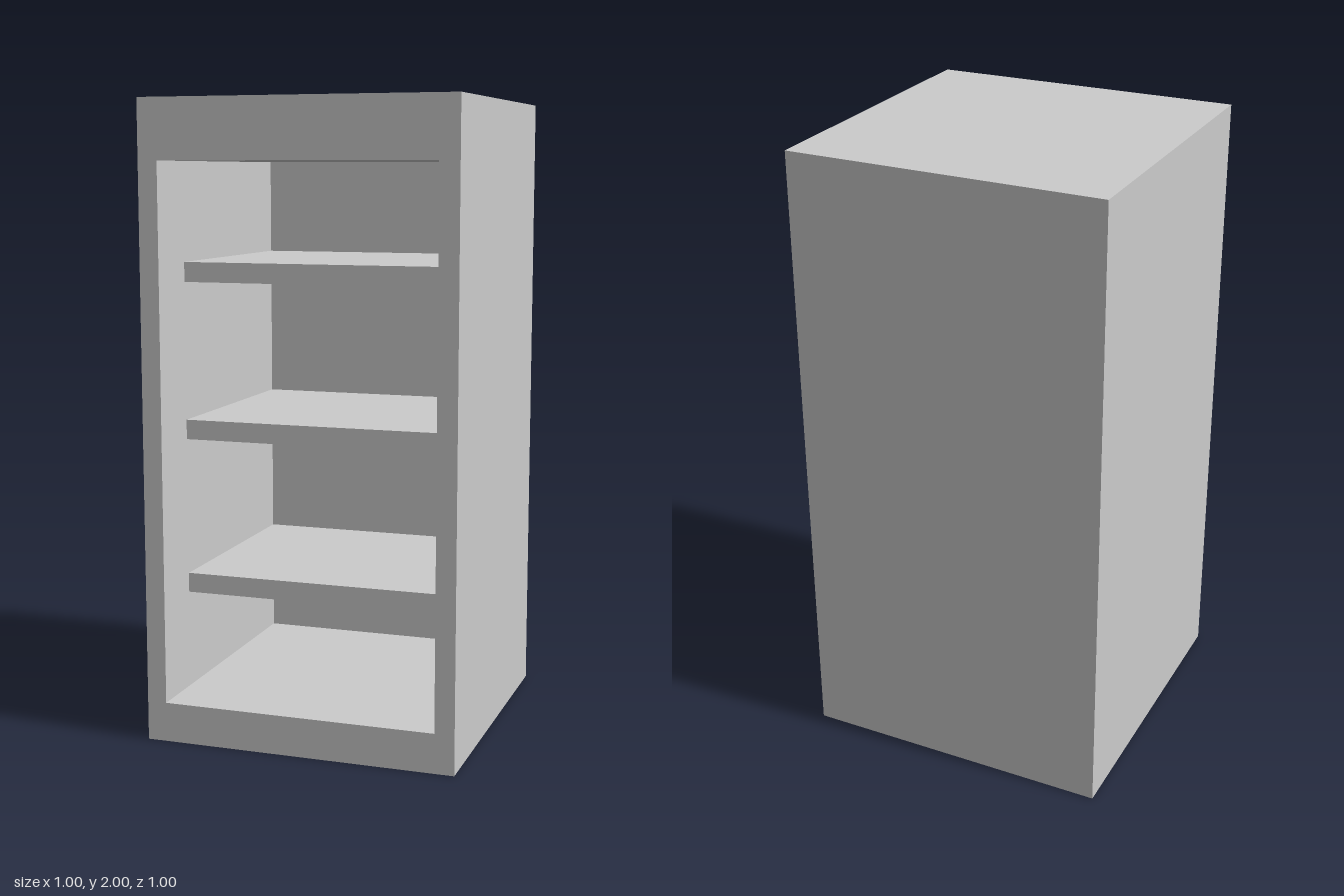
import * as THREE from 'three';

export function createModel() {
  const model = new THREE.Group();
  model.name = 'bookcase';
  const material = new THREE.MeshStandardMaterial({ color: 0xcccccc });

  const add = (name, geometry, x, y, z) => {
    const mesh = new THREE.Mesh(geometry, material);
    mesh.name = name;
    mesh.position.set(x, y, z);
    model.add(mesh);
  };

  const wall = 0.0625;            // panel thickness
  const innerW = 1 - 2 * wall;
  const bottom = 0.125, top = 1.8125;

  // Carcass: one rectangular frame with the front opening cut through
  const frame = new THREE.Shape([
    new THREE.Vector2(-0.5, 0), new THREE.Vector2(0.5, 0),
    new THREE.Vector2(0.5, 2), new THREE.Vector2(-0.5, 2),
  ]);
  frame.holes.push(new THREE.Path([
    new THREE.Vector2(-innerW / 2, bottom), new THREE.Vector2(-innerW / 2, top),
    new THREE.Vector2(innerW / 2, top), new THREE.Vector2(innerW / 2, bottom),
  ]));
  add('carcass', new THREE.ExtrudeGeometry(frame, { depth: 1 - wall, bevelEnabled: false }), 0, 0, -0.5 + wall);

  // Back panel closing the carcass
  add('backPanel', new THREE.BoxGeometry(1, 2, wall), 0, 1, -0.5 + wall / 2);

  // Shelves, set back from the front edge
  const shelfFront = 0.3125, shelfBack = -0.5 + wall;
  [0.5, 1, 1.5].forEach((y, i) => {
    add(`shelf${i + 1}`, new THREE.BoxGeometry(innerW, wall, shelfFront - shelfBack),
      0, y - wall / 2, (shelfFront + shelfBack) / 2);
  });

  return model;
}
